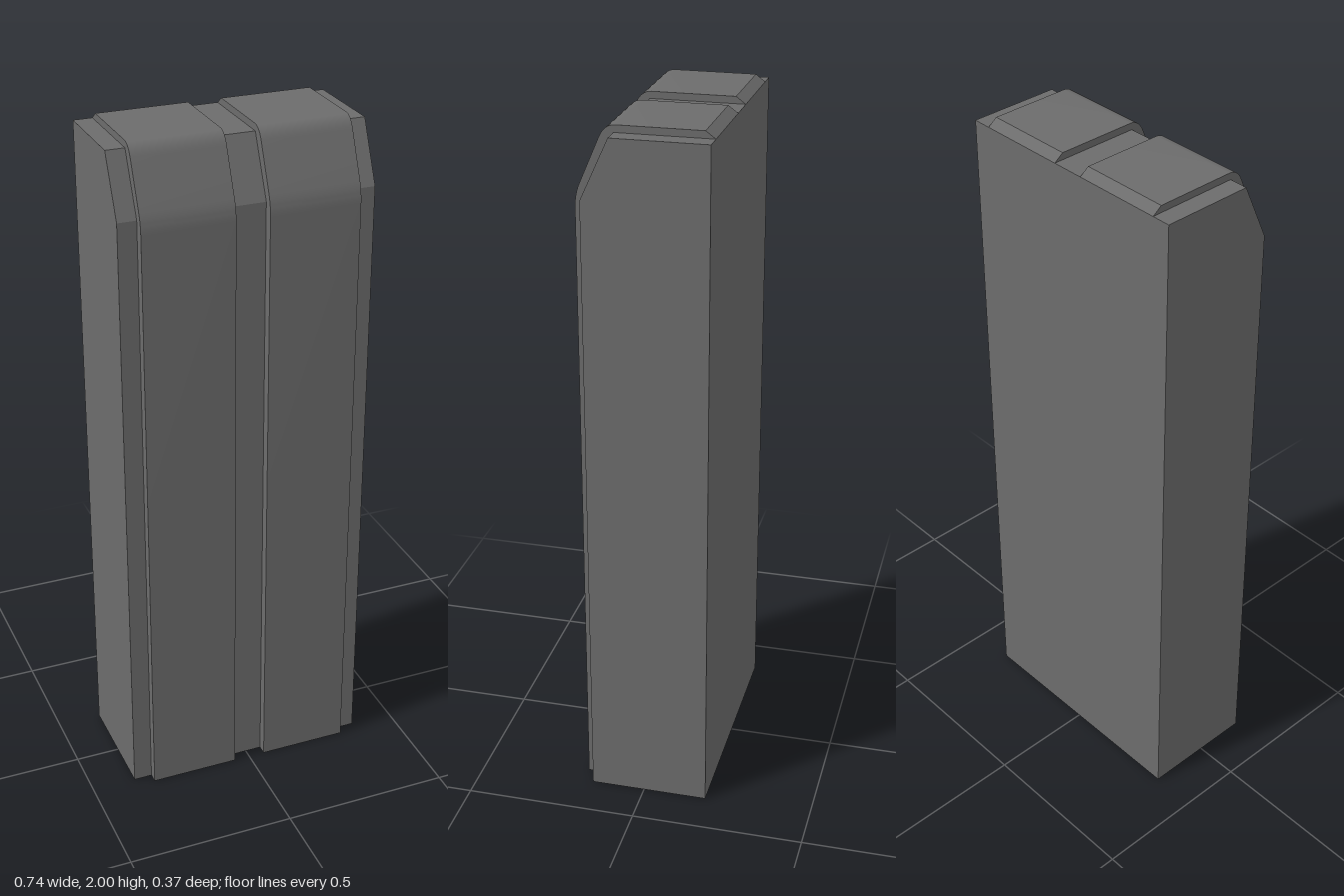
import * as THREE from 'three';
import { toCreasedNormals } from 'three/addons/utils/BufferGeometryUtils.js';

// Extrude a side profile (z, y) across a width, centred on x = 0
function extrudeAcross(shape, width) {
  const geometry = new THREE.ExtrudeGeometry(shape, {
    depth: width, bevelEnabled: false, curveSegments: 8,
  });
  geometry.translate(0, 0, -width / 2);
  geometry.rotateY(-Math.PI / 2);
  return toCreasedNormals(geometry, 0.4);
}

export function createModel() {
  const group = new THREE.Group();
  const grey = new THREE.MeshStandardMaterial({ color: 0x6c6c6c });
  grey.name = 'dark grey';

  const back = -0.187, front = 0.158, shoulder = 1.98;

  // Main slab with a chamfered upper front edge
  const slab = new THREE.Shape();
  slab.moveTo(back, 0);
  slab.lineTo(front, 0);
  slab.lineTo(front, 1.81);
  slab.lineTo(0.08, shoulder);
  slab.lineTo(back, shoulder);
  slab.closePath();
  const body = new THREE.Mesh(extrudeAcross(slab, 0.736), grey);
  body.name = 'body';
  group.add(body);

  // Raised band running up the front and over the top, with soft bends
  const band = new THREE.Shape();
  band.moveTo(front, 0);
  band.lineTo(0.187, 0);
  band.lineTo(0.187, 1.775);
  band.quadraticCurveTo(0.187, 1.81, 0.174, 1.84);
  band.lineTo(0.12, 1.965);
  band.quadraticCurveTo(0.105, 2, 0.075, 2);
  band.lineTo(-0.16, 2);
  band.lineTo(back, shoulder);
  band.lineTo(0.08, shoulder);
  band.lineTo(front, 1.81);
  band.closePath();
  const bandGeometry = extrudeAcross(band, 0.265);

  for (const side of [-1, 1]) {
    const mesh = new THREE.Mesh(bandGeometry, grey);
    mesh.name = side > 0 ? 'leftBand' : 'rightBand';
    mesh.position.x = side * 0.181;
    group.add(mesh);
  }

  return group;
}
